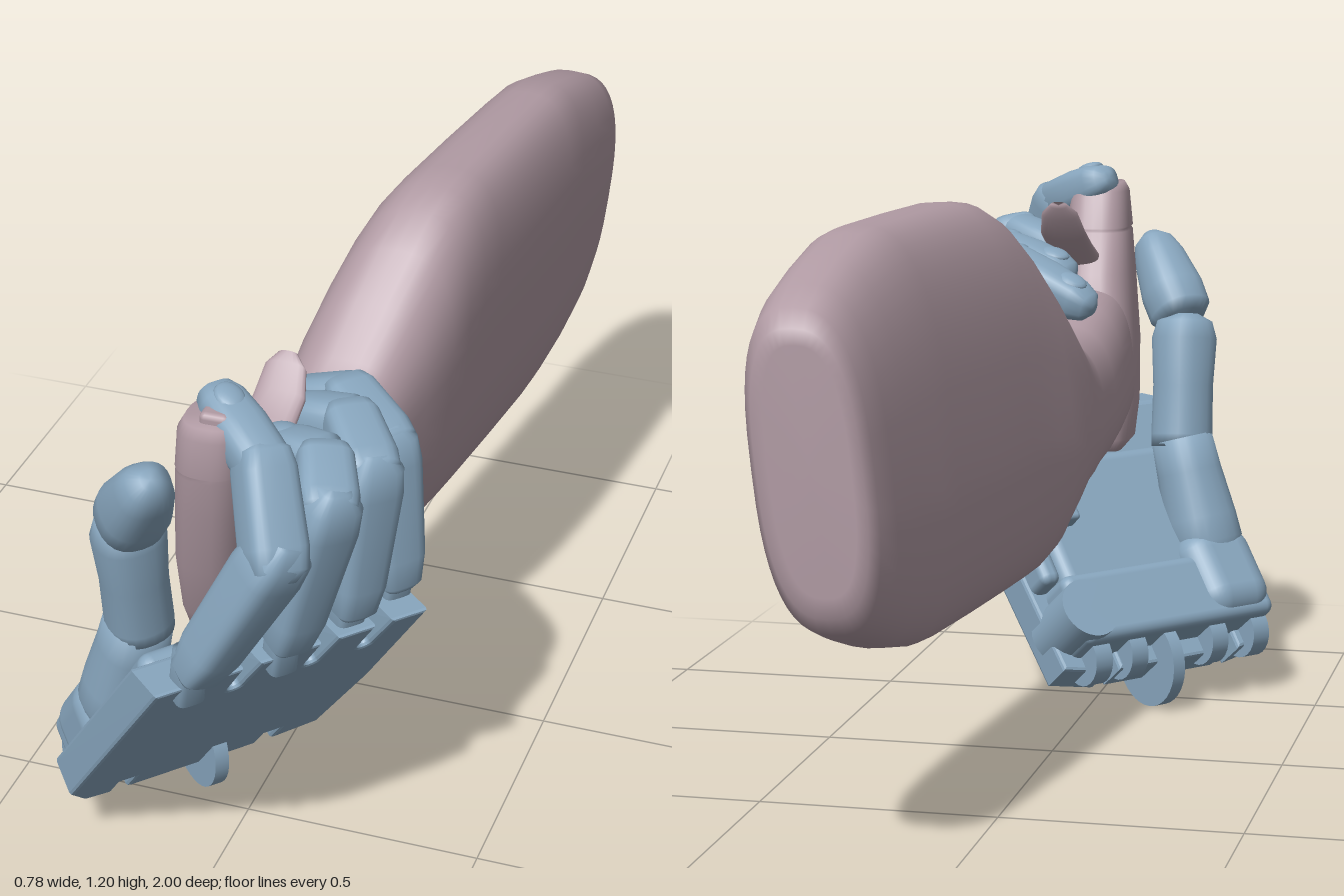
import * as THREE from 'three';
import { RoundedBoxGeometry } from 'three/addons/geometries/RoundedBoxGeometry.js';

const blue = new THREE.MeshStandardMaterial({ color: 0x88a6be });
const pink = new THREE.MeshStandardMaterial({ color: 0xb09aa3 });
const V = (a) => new THREE.Vector3(...a);

// Hand frame: U runs along the knuckles, W from wrist to knuckles, N out of the back of the hand
const U = V([0.66, 0, -0.75]).normalize();
const W = V([0.47, 0.78, 0.413]).normalize();
const N = new THREE.Vector3().crossVectors(U, W).normalize();

function add(parent, name, geometry, material, pos = [0, 0, 0], rot = [0, 0, 0]) {
  const m = new THREE.Mesh(geometry, material);
  m.name = name;
  m.position.set(...pos);
  m.rotation.set(...rot);
  parent.add(m);
  return m;
}

// Closed skin over superellipse rings [z, centreX, centreY, halfX, halfY] along +z
function loft(rings, power = 2.6, sides = 32) {
  const first = rings[0], last = rings[rings.length - 1];
  const all = [[first[0], first[1], first[2], 0, 0], ...rings, [last[0], last[1], last[2], 0, 0]];
  const pos = [], idx = [];
  const se = (t) => Math.sign(t) * Math.abs(t) ** (2 / power);
  for (const [z, cx, cy, a, b] of all)
    for (let j = 0; j < sides; j++) {
      const t = (j / sides) * Math.PI * 2;
      pos.push(cx + a * se(Math.cos(t)), cy + b * se(Math.sin(t)), z);
    }
  for (let i = 0; i < all.length - 1; i++)
    for (let j = 0; j < sides; j++) {
      const k = (j + 1) % sides;
      const a = i * sides + j, b = i * sides + k, c = a + sides, d = b + sides;
      idx.push(a, b, d, a, d, c);
    }
  const g = new THREE.BufferGeometry();
  g.setAttribute('position', new THREE.Float32BufferAttribute(pos, 3));
  g.setIndex(idx);
  g.computeVertexNormals();
  return g;
}

// Limb segment between two points; profile is [fraction of length, half width, half depth]
function segment(parent, name, a, b, profile, material, power = 3.5) {
  const A = V(a), B = V(b), L = A.distanceTo(B);
  const ez = B.clone().sub(A).normalize();
  const ex = U.clone().addScaledVector(ez, -U.dot(ez)).normalize();
  const ey = new THREE.Vector3().crossVectors(ez, ex);
  const m = add(parent, name, loft(profile.map(([t, w, d]) => [t * L, 0, 0, w, d]), power, 24), material);
  m.quaternion.setFromRotationMatrix(new THREE.Matrix4().makeBasis(ex, ey, ez));
  m.position.copy(A);
  return m;
}

function buildTool() {
  const g = new THREE.Group();
  g.name = 'handheldTool';
  // Flat paddle body narrowing into the neck: [z, xMin, xMax, yMin, yMax], leaning towards +x at the top
  const lean = 0.11;
  const body = [
    [-1.0, 0.15, 0.31, 0.55, 1.02], [-0.995, 0.13, 0.335, 0.51, 1.05], [-0.97, 0.115, 0.352, 0.475, 1.085],
    [-0.9, 0.102, 0.358, 0.445, 1.12], [-0.8, 0.09, 0.355, 0.41, 1.155], [-0.68, 0.07, 0.348, 0.385, 1.19],
    [-0.6, 0.06, 0.342, 0.38, 1.197], [-0.4, 0.03, 0.323, 0.382, 1.2], [-0.2, 0.002, 0.302, 0.386, 1.2],
    [-0.12, -0.01, 0.293, 0.389, 1.193], [-0.05, -0.021, 0.284, 0.395, 1.165], [0.02, -0.033, 0.274, 0.415, 1.11],
    [0.1, -0.045, 0.25, 0.47, 1.02], [0.18, -0.048, 0.222, 0.515, 0.93], [0.25, -0.045, 0.2, 0.53, 0.87],
    [0.32, -0.04, 0.195, 0.54, 0.85], [0.42, -0.045, 0.18, 0.555, 0.865], [0.52, -0.05, 0.16, 0.58, 0.9],
    [0.62, -0.05, 0.13, 0.61, 0.92], [0.72, -0.03, 0.1, 0.66, 0.9],
  ].map(([z, x0, x1, y0, y1]) => [z, (x0 + x1) / 2, (y0 + y1) / 2, (x1 - x0) / 2, (y1 - y0) / 2]);
  const bodySkin = loft(body, 2.7, 48);
  bodySkin.applyMatrix4(new THREE.Matrix4().makeShear(0, 0, lean, 0, 0, 0));
  add(g, 'paddleBodyAndNeck', bodySkin, pink, [-0.78 * lean, 0, 0]);

  // Upright grip: [y, x, -z, halfWidth, halfDepth]
  add(g, 'grip', loft([
    [0.55, 0.0, -0.62, 0.025, 0.04], [0.58, 0.0, -0.63, 0.05, 0.08], [0.66, 0.015, -0.65, 0.07, 0.11],
    [0.8, 0.03, -0.69, 0.077, 0.125], [0.95, 0.05, -0.74, 0.077, 0.115], [1.04, 0.06, -0.783, 0.072, 0.093],
    [1.045, 0.06, -0.783, 0.068, 0.089], [1.05, 0.06, -0.785, 0.072, 0.093], [1.13, 0.065, -0.805, 0.066, 0.075],
    [1.15, 0.065, -0.805, 0.055, 0.06],
  ]), pink, [0, 0, 0], [-Math.PI / 2, 0, 0]);
  add(g, 'gripButton', new RoundedBoxGeometry(0.06, 0.05, 0.07, 2, 0.012), pink, [0.075, 1.145, 0.81]);

  // Curved lever curling away from the grip
  add(g, 'lever', loft([
    [0.51, 0.1, 1.122, 0.02, 0.008], [0.525, 0.1, 1.1, 0.042, 0.014], [0.56, 0.1, 1.055, 0.052, 0.018],
    [0.61, 0.095, 1.02, 0.052, 0.02], [0.67, 0.08, 0.98, 0.045, 0.03], [0.74, 0.06, 0.93, 0.04, 0.03],
  ], 2.3, 20), pink);
  return g;
}

function buildPalm() {
  const g = new THREE.Group();
  g.name = 'palm';
  g.quaternion.setFromRotationMatrix(new THREE.Matrix4().makeBasis(U, W, N));
  g.position.set(0.205, 0.615, 0.755);

  // Back plate with slots between the knuckles and at the wrist
  const s = new THREE.Shape();
  s.moveTo(-0.3, 0);
  for (const x of [-0.1, 0.07, 0.19]) {
    s.lineTo(x - 0.026, 0);
    s.lineTo(x - 0.022, -0.12);
    s.absarc(x, -0.12, 0.022, Math.PI, Math.PI * 2, false);
    s.lineTo(x + 0.026, 0);
  }
  s.lineTo(0.28, 0);
  s.lineTo(0.295, -0.4);
  s.lineTo(0.28, -0.69);
  for (const x of [0.16, -0.18]) {
    s.lineTo(x + 0.025, -0.71);
    s.lineTo(x + 0.025, -0.64);
    s.lineTo(x - 0.025, -0.64);
    s.lineTo(x - 0.025, -0.71);
  }
  s.lineTo(-0.26, -0.7);
  s.lineTo(-0.31, -0.62);
  s.closePath();
  const plate = new THREE.ExtrudeGeometry(s, {
    depth: 0.07, bevelEnabled: true, bevelSize: 0.008, bevelThickness: 0.008, bevelSegments: 2, curveSegments: 8,
  });
  // Slope the knuckle edge so that it lies level
  const p = plate.attributes.position;
  for (let i = 0; i < p.count; i++)
    if (p.getY(i) > -0.05) p.setY(i, p.getY(i) - 0.8 * (0.078 - p.getZ(i)));
  plate.computeVertexNormals();
  add(g, 'backOfHand', plate, blue, [0, 0, -0.078]);

  add(g, 'palmPad', new RoundedBoxGeometry(0.46, 0.4, 0.09, 3, 0.03), blue, [0, -0.4, -0.1]);
  add(g, 'wristBlock', new RoundedBoxGeometry(0.54, 0.17, 0.15, 3, 0.025), blue, [-0.01, -0.59, -0.1]);
  add(g, 'outerEdgePlate', new RoundedBoxGeometry(0.05, 0.42, 0.14, 2, 0.02), blue, [0.265, -0.3, -0.08]);
  add(g, 'outerEdgeTab', new RoundedBoxGeometry(0.1, 0.04, 0.05, 2, 0.01), blue, [0.2, -0.36, -0.16]);
  add(g, 'outerWristBoss', new THREE.CylinderGeometry(0.07, 0.07, 0.15, 28), blue, [0.23, -0.6, -0.11], [Math.PI / 2, 0, 0]);

  // Raised mount that carries the thumb
  add(g, 'thumbMount', new RoundedBoxGeometry(0.19, 0.22, 0.16, 4, 0.06), blue, [-0.19, -0.555, -0.12]);

  // Wrist hinge disc and lugs
  const hinge = [0, 0, Math.PI / 2];
  add(g, 'wristDisc', new THREE.CylinderGeometry(0.103, 0.103, 0.032, 36), blue, [0.02, -0.695, -0.045], hinge);
  for (const x of [-0.24, -0.12, 0.11, 0.21])
    add(g, 'wristLug', new THREE.CylinderGeometry(0.062, 0.062, 0.045, 24), blue, [x, -0.675, -0.08], hinge);
  return g;
}

function buildFinger(name, joints) {
  const g = new THREE.Group();
  g.name = name;
  const [base, middle, last, tip] = joints;
  segment(g, 'knuckleLink', [base[0] - 0.02, base[1] - 0.06, base[2] - 0.02], [base[0], base[1] + 0.06, base[2]],
    [[0, 0.03, 0.03], [1, 0.03, 0.03]], blue, 4);
  segment(g, 'lowerSegment', base, middle, [
    [0, 0.03, 0.028], [0.05, 0.044, 0.042], [0.25, 0.053, 0.054], [0.9, 0.062, 0.06], [1.06, 0.057, 0.055], [1.15, 0.03, 0.03],
  ], blue);
  segment(g, 'middleSegment', middle, last, [
    [-0.28, 0.03, 0.03], [-0.15, 0.055, 0.053], [0.1, 0.06, 0.058], [0.95, 0.056, 0.054], [1.15, 0.048, 0.046], [1.25, 0.025, 0.025],
  ], blue);
  const end = segment(g, 'fingertip', last, tip, [
    [-0.15, 0.03, 0.03], [0, 0.052, 0.05], [0.5, 0.054, 0.05], [0.9, 0.048, 0.044], [1.08, 0.036, 0.032], [1.15, 0.015, 0.015],
  ], blue, 2.7);
  const nail = add(end, 'fingernail', new THREE.SphereGeometry(0.032, 16, 10), blue,
    [0, -0.039, V(last).distanceTo(V(tip)) * 0.8]);
  nail.scale.set(0.9, 0.4, 1.1);
  return g;
}

function buildThumb() {
  const g = new THREE.Group();
  g.name = 'thumb';
  segment(g, 'thumbLowerSegment', [-0.235, 0.27, 0.635], [-0.155, 0.57, 0.68], [
    [0, 0.04, 0.045], [0.06, 0.066, 0.07], [0.22, 0.084, 0.085], [0.4, 0.082, 0.082], [0.75, 0.072, 0.072], [1, 0.068, 0.068],
  ], blue, 2.3);
  segment(g, 'thumbMiddleSegment', [-0.155, 0.55, 0.677], [-0.15, 0.83, 0.735], [
    [0, 0.067, 0.067], [0.1, 0.068, 0.068], [0.5, 0.067, 0.066], [0.88, 0.074, 0.07], [1.02, 0.062, 0.06], [1.08, 0.03, 0.03],
  ], blue, 2.3);
  segment(g, 'thumbTip', [-0.135, 0.855, 0.755], [-0.055, 1.0, 0.85], [
    [-0.12, 0.05, 0.05], [0, 0.068, 0.07], [0.3, 0.07, 0.07], [0.8, 0.057, 0.056], [1.02, 0.045, 0.042], [1.14, 0.02, 0.02],
  ], blue, 2.4);
  return g;
}

export function createModel() {
  const model = new THREE.Group();
  model.name = 'handHoldingTool';
  const hand = new THREE.Group();
  hand.name = 'mechanicalHand';
  hand.add(
    buildPalm(),
    buildThumb(),
    buildFinger('indexFinger', [[0.05, 0.635, 0.92], [0.225, 0.95, 0.935], [0.175, 1.095, 0.855], [0.05, 1.155, 0.755]]),
    buildFinger('middleFinger', [[0.185, 0.64, 0.775], [0.28, 0.99, 0.805], [0.24, 1.03, 0.71], [0.12, 1.0, 0.645]]),
    buildFinger('ringFinger', [[0.27, 0.645, 0.635], [0.305, 0.975, 0.635], [0.23, 1.01, 0.53], [0.08, 0.97, 0.48]]),
    buildFinger('littleFinger', [[0.325, 0.645, 0.515], [0.295, 0.96, 0.51], [0.19, 0.995, 0.42], [0.015, 0.92, 0.372]]),
  );
  model.add(buildTool(), hand);
  return model;
}
